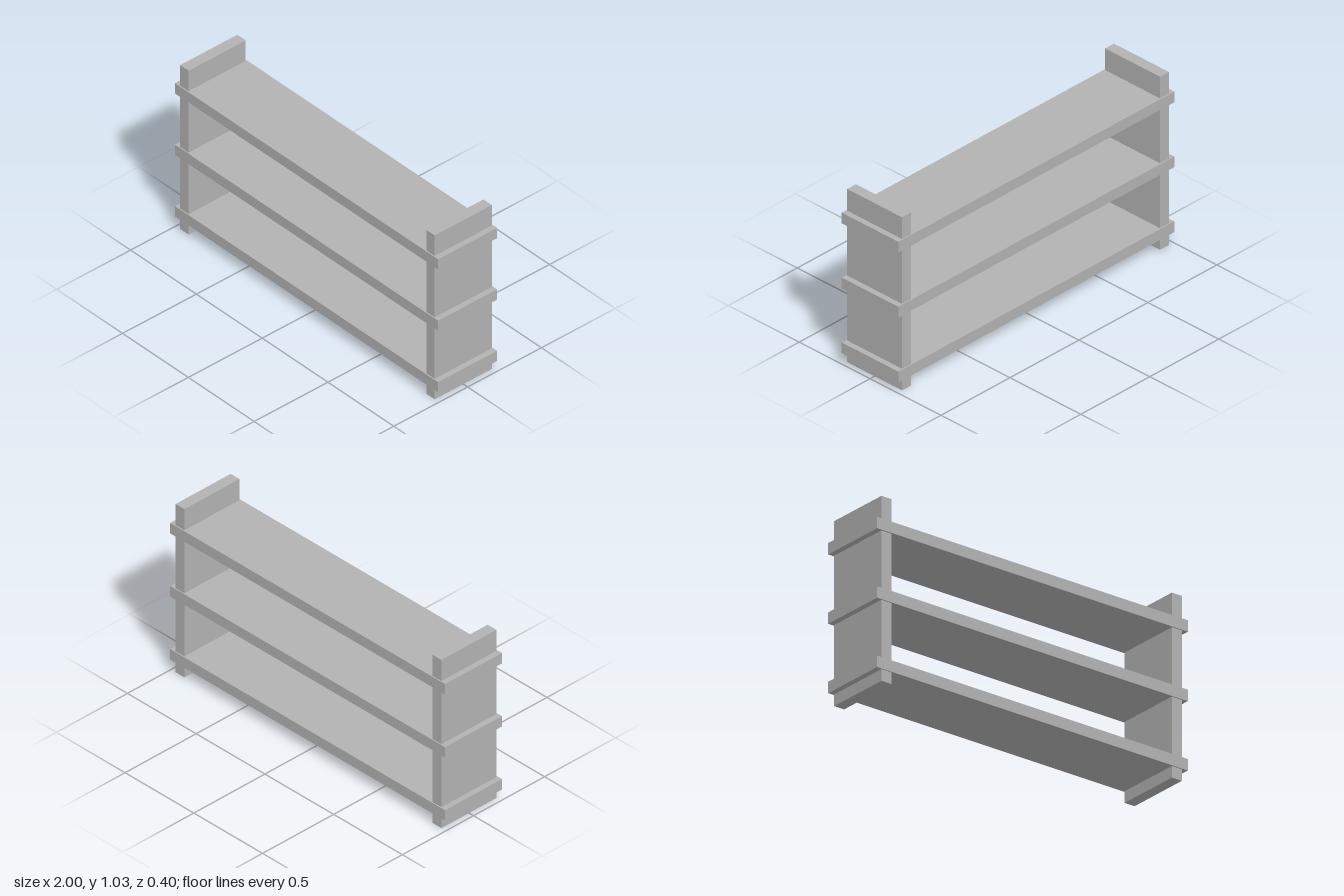
import * as THREE from 'three';

export function createModel() {
  const model = new THREE.Group();
  model.name = 'shelfUnit';

  const grey = new THREE.MeshStandardMaterial({ color: 0xb2b2b2 });
  grey.name = 'plain grey';

  const board = 0.064; // board thickness
  const height = 1.032;

  function addBoard(name, w, h, d, x, y) {
    const mesh = new THREE.Mesh(new THREE.BoxGeometry(w, h, d), grey);
    mesh.name = name;
    mesh.position.set(x, y, 0);
    model.add(mesh);
  }

  // Upright side panels, slightly shallower than the shelves
  for (const [name, side] of [['leftPanel', 1], ['rightPanel', -1]]) {
    addBoard(name, board, height, 0.387, side * 0.935, height / 2);
  }

  // Three evenly spaced shelves that run through and past the panels
  ['lowerShelf', 'middleShelf', 'upperShelf'].forEach((name, i) => {
    addBoard(name, 2, board, 0.4, 0, 0.097 + i * 0.387);
  });

  return model;
}
